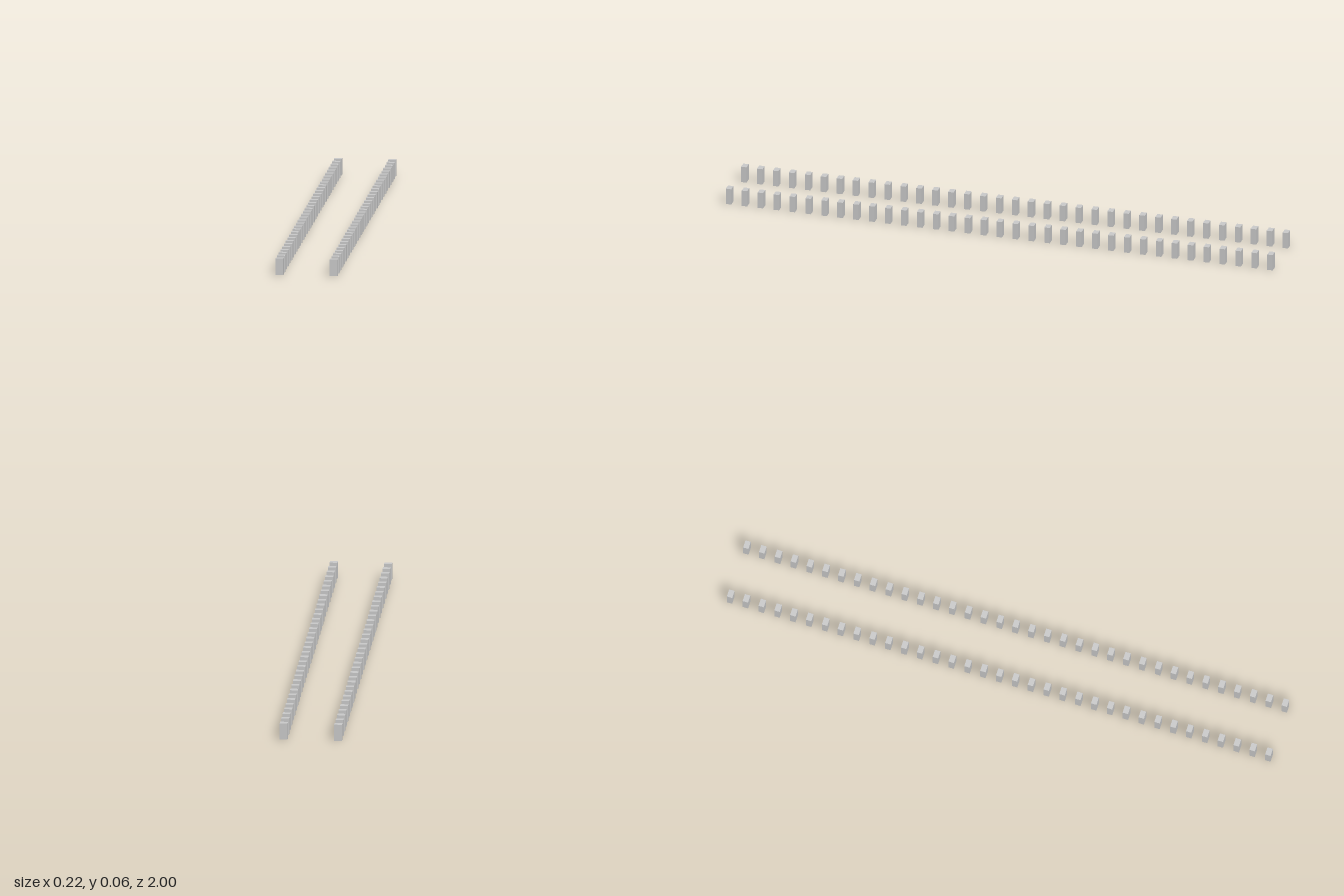
import * as THREE from 'three';

const COUNT = 35;
const WIDTH = 0.028, HEIGHT = 0.059, DEPTH = 0.02;
const ROW_X = 0.096; // distance of each row from the centre line
const PITCH = (2 - DEPTH) / (COUNT - 1);

export function createModel() {
  const model = new THREE.Group();
  model.name = 'blockRows';
  const material = new THREE.MeshStandardMaterial({ color: 0xcccccc, flatShading: true });
  const block = new THREE.BoxGeometry(WIDTH, HEIGHT, DEPTH).translate(0, HEIGHT / 2, 0);

  // Two mirrored rows of evenly spaced upright blocks
  for (const [name, side] of [['left', 1], ['right', -1]]) {
    const row = new THREE.Group();
    row.name = `${name}Row`;
    row.position.x = side * ROW_X;
    for (let i = 0; i < COUNT; i++) {
      const mesh = new THREE.Mesh(block, material);
      mesh.name = `${name}Block${i + 1}`;
      mesh.position.z = (i - (COUNT - 1) / 2) * PITCH;
      row.add(mesh);
    }
    model.add(row);
  }
  return model;
}
